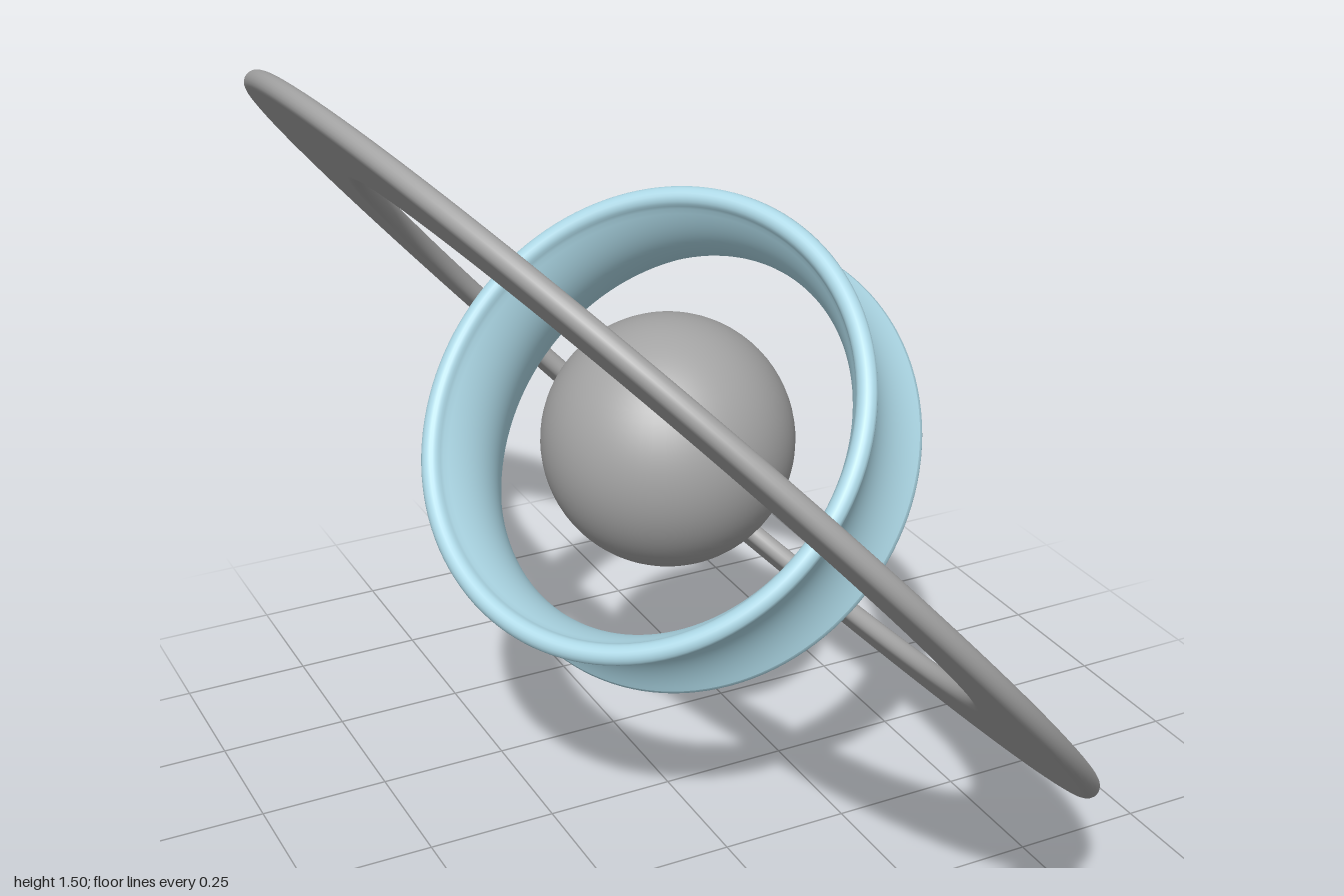
import * as THREE from 'three';

const UP = new THREE.Vector3(0, 1, 0);

// Points of an arc in the (radius, height) plane.
function arc(cx, cy, r, from, to, n = 10) {
  return Array.from({ length: n + 1 }, (_, i) => {
    const a = from + ((to - from) * i) / n;
    return new THREE.Vector2(cx + r * Math.cos(a), cy + r * Math.sin(a));
  });
}

// A ring turned from a closed profile, with its axis along the given direction.
function turnedRing(name, profile, material, axis) {
  const mesh = new THREE.Mesh(new THREE.LatheGeometry(profile, 128), material);
  mesh.name = name;
  mesh.quaternion.setFromUnitVectors(UP, new THREE.Vector3(...axis).normalize());
  return mesh;
}

// Flat washer with fully rounded inner and outer rims.
function flatProfile(inner, outer, t) {
  const V = (x, y) => new THREE.Vector2(x, y);
  const a = inner + t, b = outer - t, e = 0.004, h = Math.PI / 2;
  const mid = (a + b) / 2;
  return [
    V(mid, -t), V(b - e, -t), ...arc(b, 0, t, -h, h), V(b - e, t),
    V(mid, t), V(a + e, t), ...arc(a, 0, t, h, 3 * h), V(a + e, -t), V(mid, -t),
  ];
}

// Band pinched at the middle, with rounded lips at both ends.
function flaredProfile(lipRadius, halfWidth, waist, t) {
  const pts = [];
  const side = (offset, dir) => {
    for (let i = -12; i <= 12; i++) {
      const s = (i / 12) * 0.97 * dir;
      const r = waist + (lipRadius - waist) * s * s;
      pts.push(new THREE.Vector2(r + offset, s * halfWidth));
    }
  };
  side(t, 1);
  pts.push(...arc(lipRadius, halfWidth, t, 0.15, Math.PI - 0.15));
  side(-t, -1);
  pts.push(...arc(lipRadius, -halfWidth, t, Math.PI + 0.15, 2 * Math.PI - 0.15));
  pts.push(pts[0].clone());
  return pts;
}

export function createModel() {
  const grey = new THREE.MeshStandardMaterial({ color: 0xa4a4a4 });
  grey.name = 'grey';
  const blue = new THREE.MeshStandardMaterial({ color: 0xadd8e6 });
  blue.name = 'light blue';

  const model = new THREE.Group();
  model.name = 'ringedSphere';
  model.position.y = 0.749;

  // Central ball
  const ball = new THREE.Mesh(new THREE.SphereGeometry(0.235, 64, 40), grey);
  ball.name = 'centralSphere';

  // Tilted rings around it
  model.add(
    ball,
    turnedRing('innerBand', flaredProfile(0.432, 0.116, 0.394, 0.02), blue, [-0.66, 0.63, 0.4]),
    turnedRing('outerRing', flatProfile(0.728, 1.0, 0.019), grey, [0.742, 0.669, -0.04]),
  );

  const root = new THREE.Group();
  root.name = 'model';
  root.add(model);
  return root;
}
